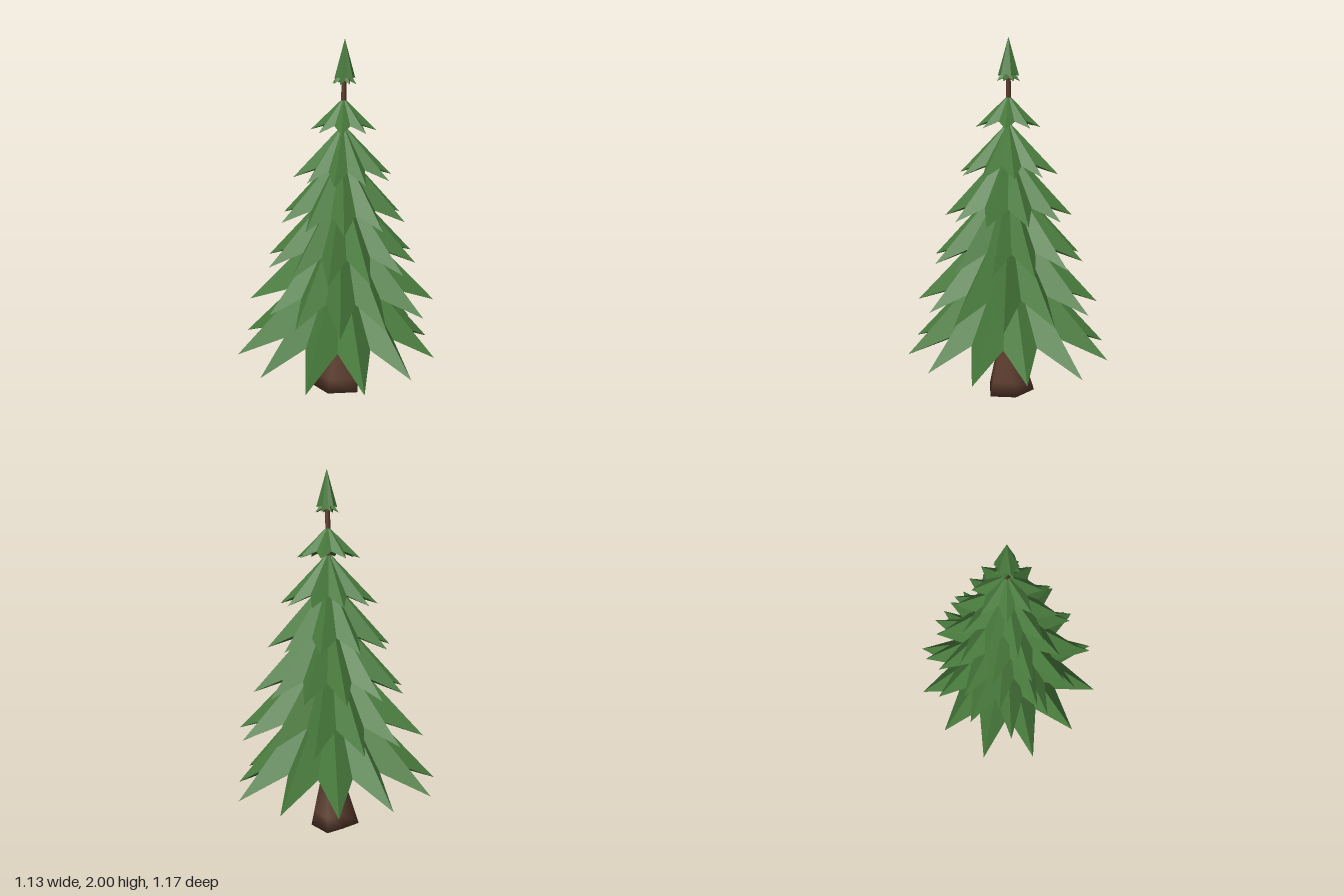
import * as THREE from 'three';
import { mergeVertices } from 'three/addons/utils/BufferGeometryUtils.js';

const needles = new THREE.MeshStandardMaterial({ color: 0x487a3c });
needles.name = 'needle green';
const bark = new THREE.MeshStandardMaterial({ color: 0x5c3d2e });
bark.name = 'bark brown';

// The tree leans slightly towards +x and -z in its upper part
const lean = (y) => 0.02 * Math.max(0, (y - 0.6) / 1.4);

// Folded star-shaped skirt: ridges run to the tips, valleys to the notches.
// radii holds one reach per tip, turn is the angle of the first tip in degrees.
function skirtGeometry({ apex, tipY, notchY, coreY, radii, notch, turn }) {
  const c = lean(apex), n = radii.length;
  const mean = radii.reduce((s, r) => s + r, 0) / n;
  const rim = [];
  for (let i = 0; i < n * 2; i++) {
    const tip = i % 2 === 0;
    const a = THREE.MathUtils.degToRad(turn) + (i * Math.PI) / n;
    const d = tip ? radii[i / 2] : mean * notch;
    rim.push([c + d * Math.cos(a), tip ? tipY : notchY, -c + d * Math.sin(a)]);
  }
  const top = [c, apex, -c], core = [c, coreY, -c], pos = [];
  rim.forEach((p, i) => {
    const q = rim[(i + 1) % rim.length];
    pos.push(...top, ...q, ...p, ...core, ...p, ...q);
  });
  const g = new THREE.BufferGeometry();
  g.setAttribute('position', new THREE.Float32BufferAttribute(pos, 3));
  g.computeVertexNormals();
  return g;
}

// Smooth six-sided trunk whose round section spreads into an uneven foot
function trunkGeometry() {
  const foot = [[0.03, 0.13], [0.145, 0], [0.05, -0.11], [-0.1, -0.11], [-0.105, 0], [-0.1, 0.12]];
  const profile = [[0, 0], [0.06, 0], [0.06, 0.08], [0.058, 0.3], [0.05, 0.45],
    [0.036, 1.0], [0.017, 1.55], [0.012, 1.82]];
  const g = new THREE.LatheGeometry(profile.map(([x, y]) => new THREE.Vector2(x, y)), 6, 0.49);
  const p = g.attributes.position;
  for (let i = 0; i < p.count; i++) {
    const y = p.getY(i), j = i % profile.length;
    const [fx, fz] = foot[Math.floor(i / profile.length) % 6];
    const w = j === 0 ? 0 : Math.max(0, 1 - y / 0.3);
    p.setX(i, THREE.MathUtils.lerp(p.getX(i), fx, w) + lean(y));
    p.setZ(i, THREE.MathUtils.lerp(p.getZ(i), fz, w) - lean(y));
  }
  g.deleteAttribute('uv');
  g.deleteAttribute('normal');
  const smooth = mergeVertices(g, 1e-4);
  smooth.computeVertexNormals();
  return smooth;
}

export function createModel() {
  const tree = new THREE.Group();
  tree.name = 'pineTree';
  const add = (name, geometry, material) => {
    const mesh = new THREE.Mesh(geometry, material);
    mesh.name = name;
    tree.add(mesh);
    return mesh;
  };

  add('trunk', trunkGeometry(), bark);

  // Small broken twig
  const twig = add('twig', new THREE.CylinderGeometry(0.002, 0.008, 0.06, 5), bark);
  twig.position.set(0.066, 0.242, 0.02);
  twig.rotation.z = -0.95;

  // Branch skirts from the ground up
  const even = (n, r) => Array.from({ length: n }, (_, i) => r * (1 + 0.02 * Math.sin(i * 2.3)));
  const tiers = [
    { apex: 0.9, tipY: 0.262, notchY: 0.385, coreY: 0.45, turn: 4,
      radii: [0.56, 0.575, 0.586, 0.58, 0.6, 0.6, 0.57, 0.565, 0.58, 0.59, 0.525, 0.555] },
    { apex: 1.1, tipY: 0.55, notchY: 0.645, coreY: 0.7, turn: 17,
      radii: [0.48, 0.515, 0.47, 0.45, 0.525, 0.475, 0.49, 0.5, 0.505, 0.51, 0.53, 0.515] },
    { apex: 1.27, tipY: 0.8, notchY: 0.885, coreY: 0.93, turn: 26, radii: even(12, 0.42) },
    { apex: 1.43, tipY: 1.045, notchY: 1.115, coreY: 1.15, turn: 9, radii: even(10, 0.345) },
    { apex: 1.56, tipY: 1.28, notchY: 1.335, coreY: 1.36, turn: 20, radii: even(10, 0.268) },
    { apex: 1.7, tipY: 1.53, notchY: 1.565, coreY: 1.58, turn: 5, radii: even(8, 0.175) },
  ];
  tiers.forEach((t, i) => add('branchTier' + (i + 1), skirtGeometry({ notch: 0.61, ...t }), needles));

  // Narrow crown with a ragged lower skirt
  add('crownSkirt', skirtGeometry({ apex: 1.87, tipY: 1.772, notchY: 1.79, coreY: 1.8,
    radii: even(8, 0.066), notch: 0.6, turn: 20 }), needles);
  add('crown', skirtGeometry({ apex: 2, tipY: 1.8, notchY: 1.806, coreY: 1.81,
    radii: even(6, 0.058), notch: 0.82, turn: 0 }), needles);

  return tree;
}
